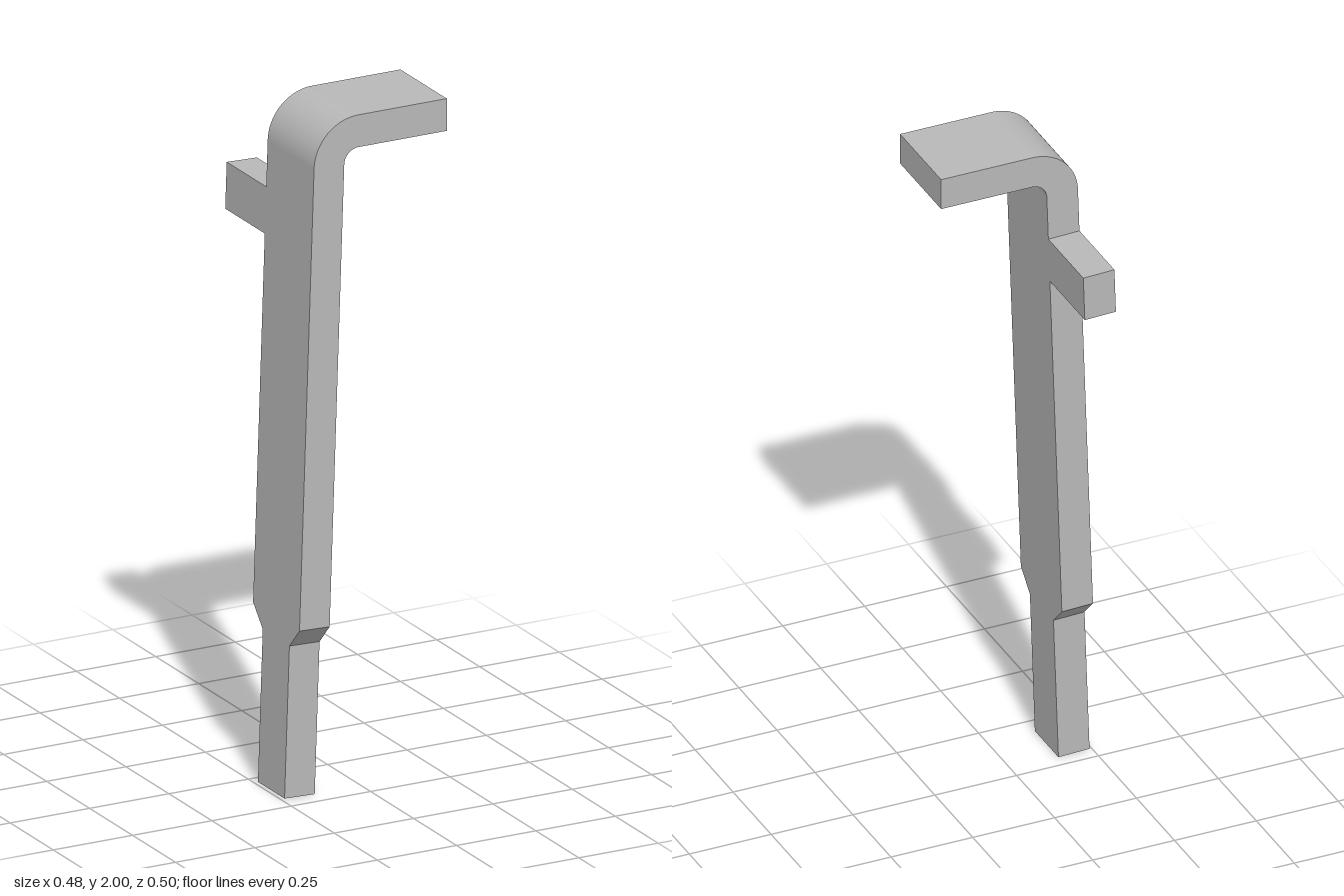
import * as THREE from 'three';
import { toCreasedNormals } from 'three/addons/utils/BufferGeometryUtils.js';

export function createModel() {
  const group = new THREE.Group();
  const steel = new THREE.MeshStandardMaterial({ color: 0xb8b8b8 });
  steel.name = 'plain grey metal';

  const tilt = Math.atan(0.034);            // lean of the shank
  const outer = 0.14, inner = 0.045;        // bend radii
  const thick = outer - inner;
  const cx = -0.038, cy = 1.86;             // bend centre
  const zBack = -0.02, zFront = 0.25;
  const length = (cy + inner * Math.sin(tilt)) / Math.cos(tilt);

  const add = (parent, name, geometry) => {
    const mesh = new THREE.Mesh(geometry, steel);
    mesh.name = name;
    parent.add(mesh);
  };

  // Flat top arm with the rounded bend
  const arm = new THREE.Shape();
  arm.moveTo(0.24, 2 - thick);
  arm.lineTo(0.24, 2);
  arm.absarc(cx, cy, outer, Math.PI / 2, Math.PI - tilt, false);
  arm.absarc(cx, cy, inner, Math.PI - tilt, Math.PI / 2, true);
  arm.closePath();
  const armGeometry = new THREE.ExtrudeGeometry(arm, {
    depth: zFront - zBack, bevelEnabled: false, curveSegments: 24,
  });
  armGeometry.translate(0, 0, zBack);
  add(group, 'bentArm', toCreasedNormals(armGeometry, 0.5));

  // Leaning frame: pivots on the bend centre
  const leaning = new THREE.Group();
  leaning.name = 'leaningShank';
  leaning.position.set(cx, cy, 0);
  leaning.rotation.z = -tilt;
  group.add(leaning);

  // Shank with chamfered shoulders and a narrow foot, outlined in z and height
  const outline = [
    [0.04, 0], [0.195, 0], [0.195, 0.447], [zFront, 0.508],
    [zFront, length], [zBack, length], [zBack, 0.508], [0.04, 0.447],
  ].map(([z, y]) => new THREE.Vector2(z, y - length));
  const shank = new THREE.ExtrudeGeometry(new THREE.Shape(outline), {
    depth: thick, bevelEnabled: false,
  });
  shank.rotateY(-Math.PI / 2);
  shank.translate(-inner, 0, 0);
  add(leaning, 'shank', shank);

  // Side peg pointing backwards
  const peg = new THREE.BoxGeometry(thick, 0.137, 0.23);
  peg.translate(-inner - thick / 2, 1.6565 - length, -0.135);
  add(leaning, 'sidePeg', peg);

  return group;
}
